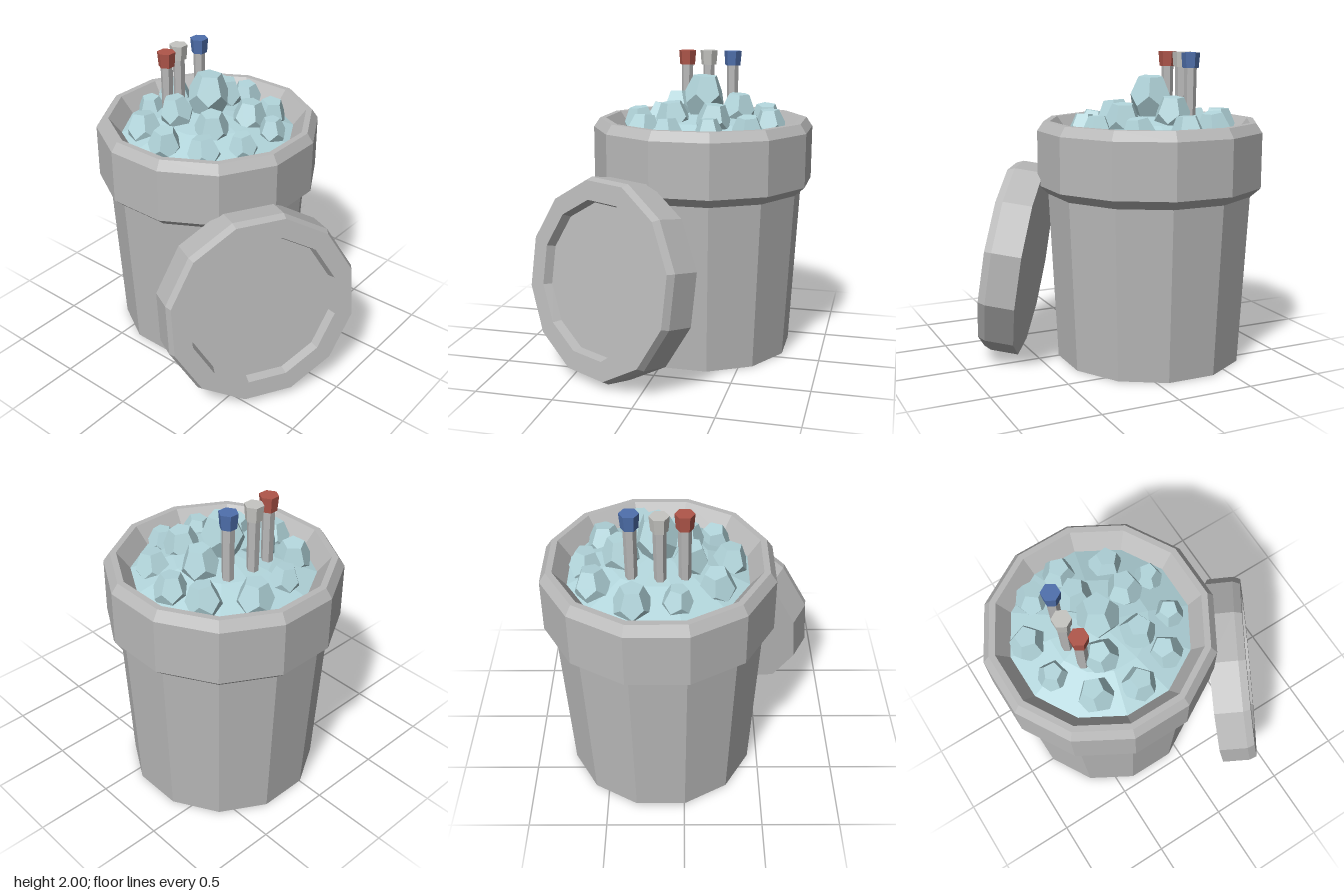
import * as THREE from 'three';

const SIDES = 12;
const material = (name, color) => {
  const m = new THREE.MeshStandardMaterial({ color, flatShading: true });
  m.name = name;
  return m;
};

// Twelve-sided turned shape; radii are measured to the flats, one flat facing front
function turned(name, profile, mat) {
  const k = 1 / Math.cos(Math.PI / SIDES);
  const geo = new THREE.LatheGeometry(profile.map(([r, y]) => new THREE.Vector2(r * k, y)), SIDES);
  geo.rotateY(Math.PI / SIDES);
  const mesh = new THREE.Mesh(geo, mat);
  mesh.name = name;
  return mesh;
}

export function createModel() {
  const metal = material('grey metal', 0xb9b9b9);
  const ice = material('pale blue ice', 0xb2d5db);
  const red = material('red cap', 0xb0564a);
  const white = material('light grey cap', 0xc6c6c2);
  const blue = material('blue cap', 0x4f70ad);

  const model = new THREE.Group();
  model.name = 'iceBucket';

  // Bucket with thick collar
  const bucket = turned('bucket', [
    [0, 0], [0.59, 0], [0.645, 1.1], [0.71, 1.16], [0.71, 1.51],
    [0.67, 1.57], [0.632, 1.57], [0.55, 1.46], [0.55, 1.4],
  ], metal);
  bucket.position.set(0.155, 0, -0.23);
  model.add(bucket);

  // Low mound of ice filling the bucket
  const mound = turned('iceMound', [[0.56, 1.46], [0.3, 1.56], [0, 1.61]], ice);
  mound.position.copy(bucket.position);
  model.add(mound);

  // Lid leaning against the bucket, recessed side outward
  const lid = turned('lid', [
    [0, 0], [0.625, 0], [0.625, 0.187], [0.605, 0.235],
    [0.485, 0.235], [0.468, 0.175], [0, 0.175],
  ], metal);
  lid.rotation.set(Math.PI / 2 - 0.15, -Math.PI / 6, 0, 'YXZ');
  lid.position.set(-0.225, 0.618, 0.44);
  model.add(lid);

  // Ice chunks: stretched dodecahedra with a face upward [x, z, radius, top]
  const chunkGeo = new THREE.DodecahedronGeometry(1);
  const faceNormal = new THREE.Vector3(1, 0, (1 + Math.sqrt(5)) / 2).normalize();
  chunkGeo.applyQuaternion(new THREE.Quaternion().setFromUnitVectors(faceNormal, new THREE.Vector3(0, 1, 0)));
  const chunks = new THREE.Group();
  chunks.name = 'iceChunks';
  [
    [0.04, -0.63, 0.095, 1.62], [0.3, -0.65, 0.115, 1.64], [-0.2, -0.47, 0.115, 1.63],
    [0.54, -0.48, 0.11, 1.64], [-0.28, -0.22, 0.11, 1.63], [-0.04, -0.33, 0.11, 1.73],
    [0.16, -0.23, 0.135, 1.85], [0.38, -0.27, 0.115, 1.73], [0.6, -0.26, 0.105, 1.63],
    [-0.01, -0.06, 0.115, 1.69], [-0.19, 0.03, 0.11, 1.61], [0.27, 0.02, 0.115, 1.69],
    [0.5, 0.02, 0.11, 1.62], [0.01, 0.18, 0.095, 1.61], [0.28, 0.2, 0.09, 1.62],
  ].forEach(([x, z, r, top], i) => {
    const chunk = new THREE.Mesh(chunkGeo, ice);
    const h = r * 1.35;
    chunk.name = 'iceChunk';
    chunk.scale.set(r, h, r);
    chunk.position.set(x, top - 0.8 * h, z);
    chunk.rotation.set(0.1 * Math.sin(i * 2.3), i * 1.7, 0.1 * Math.cos(i * 3.1));
    chunks.add(chunk);
  });
  model.add(chunks);

  // Three capped vials standing in the ice
  [[-0.005, -0.44, red], [0.14, -0.465, white], [0.312, -0.435, blue]].forEach(([x, z, capMat]) => {
    const vial = new THREE.Group();
    vial.name = 'vial';
    const stem = new THREE.Mesh(new THREE.CylinderGeometry(0.04, 0.036, 0.46, 6), metal);
    stem.name = 'vialStem';
    stem.position.y = 1.69;
    const cap = new THREE.Mesh(new THREE.CylinderGeometry(0.06, 0.052, 0.096, 6), capMat);
    cap.name = 'vialCap';
    cap.position.y = 1.952;
    vial.add(stem, cap);
    vial.rotation.y = Math.PI / 6;
    vial.position.set(x, 0, z);
    model.add(vial);
  });

  return model;
}
